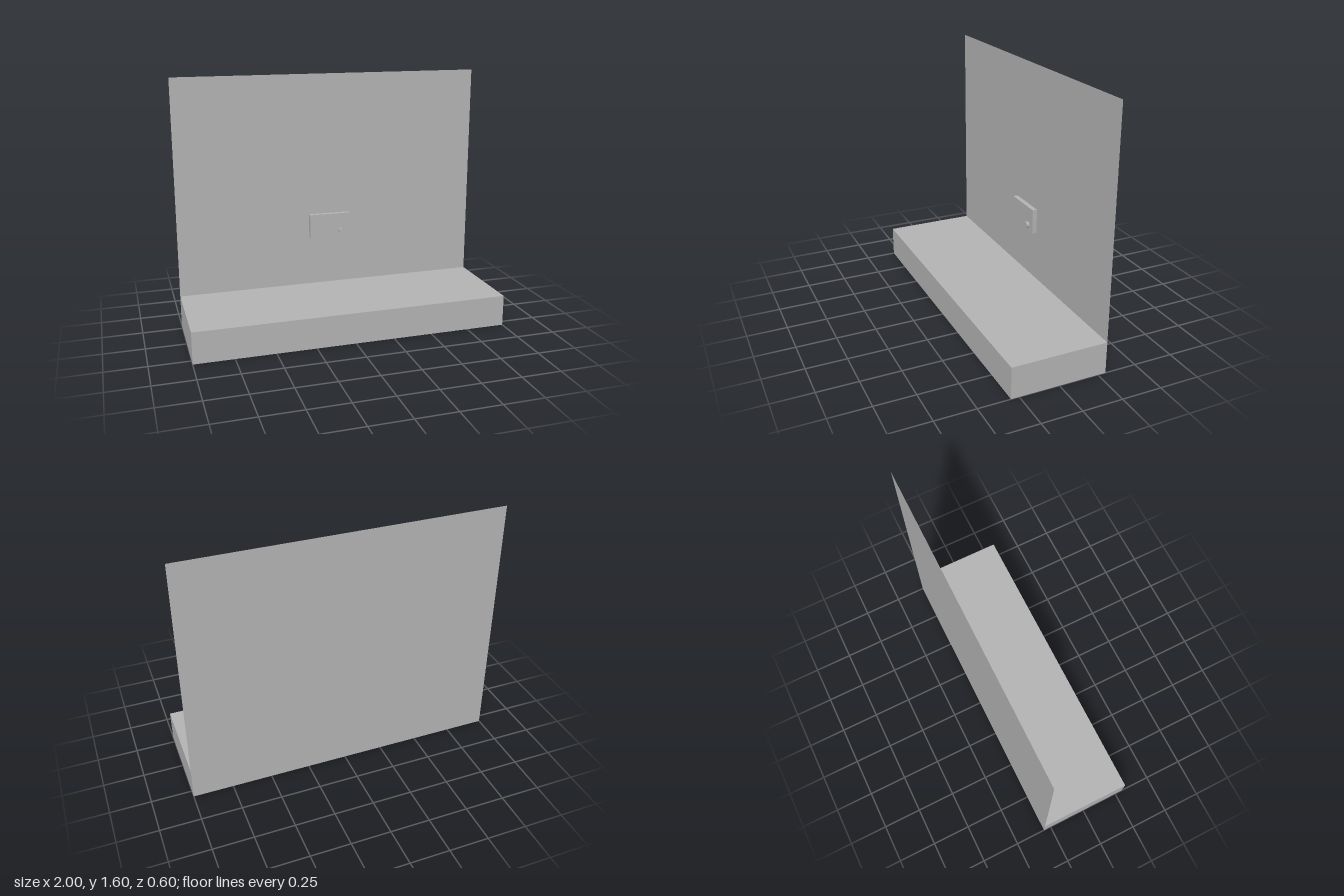
import * as THREE from 'three';

export function createModel() {
  const group = new THREE.Group();
  const grey = new THREE.MeshStandardMaterial({ color: 0xb2b2b2 });
  grey.name = 'grey';
  grey.side = THREE.DoubleSide;

  const add = (name, geometry, x, y, z) => {
    const mesh = new THREE.Mesh(geometry, grey);
    mesh.name = name;
    mesh.position.set(x, y, z);
    group.add(mesh);
  };

  // Long low base slab
  add('base', new THREE.BoxGeometry(2, 0.2, 0.6), 0, 0.1, 0);

  // Upright sheet with no thickness along the rear edge
  add('backWall', new THREE.PlaneGeometry(2, 1.6), 0, 0.8, -0.3);

  // Small box mounted on the wall
  add('controlBox', new THREE.BoxGeometry(0.274, 0.16, 0.03), 0, 0.601, -0.285);

  // Round knob on the front of the box
  const knob = new THREE.CylinderGeometry(0.02, 0.02, 0.02, 16).rotateX(Math.PI / 2);
  add('knob', knob, 0.077, 0.562, -0.261);

  return group;
}
